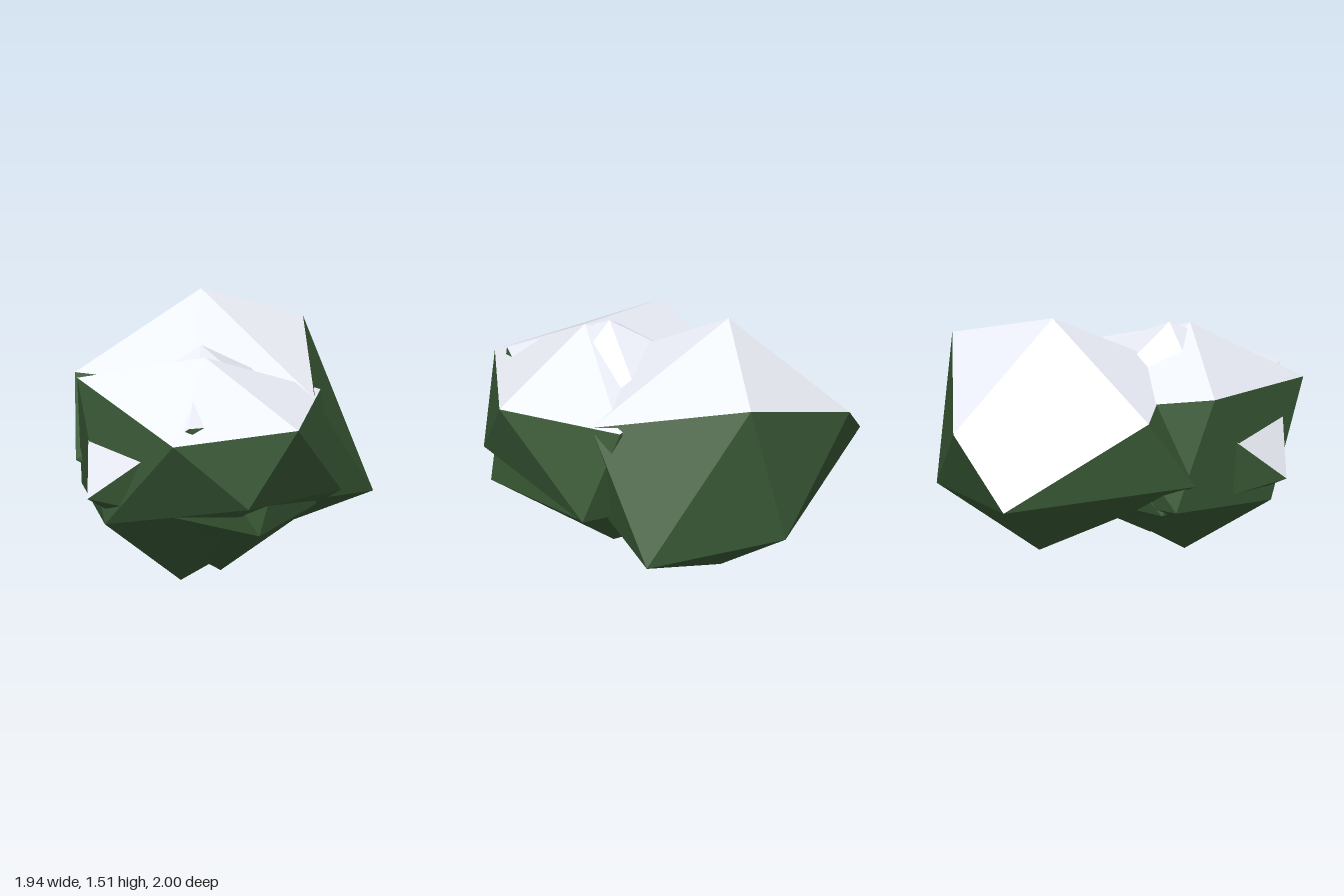
import * as THREE from 'three';

const leafMat = new THREE.MeshStandardMaterial({ color: 0x3a5a36, flatShading: true });
const snowMat = new THREE.MeshStandardMaterial({ color: 0xeef1fa, flatShading: true });

// Each clump is an uneven icosahedron: a tip, an upper ring, a lower ring and a base.
// Rings run from +x towards +z; lower[i] sits between upper[i] and upper[i + 1].
const clumps = [
  {
    name: 'backClump',
    top: [-0.16, 1.51, -0.32],
    upper: [[0.7, 1.01, -0.22], [0.2, 1.12, 0.3], [-0.58, 1.09, 0.32], [-0.67, 0.97, -0.79], [0.1, 1.26, -0.95]],
    lower: [[0.5, 0.42, 0.2], [-0.41, 0.65, 0.55], [-0.97, 0.64, -0.44], [-0.1, 0.41, -1], [0.7, 0.36, -0.79]],
    base: [-0.04, 0.02, -0.42],
  },
  {
    name: 'frontClump',
    top: [0.36, 1.32, 0.37],
    upper: [[0.97, 0.97, 0.32], [0.57, 0.95, 0.98], [-0.33, 1.16, 0.65], [-0.32, 1.05, 0], [0.62, 1.02, -0.39]],
    lower: [[0.86, 0.56, 0.65], [0.04, 0.41, 0.9], [-0.44, 0.49, 0.45], [0, 0.38, -0.25], [0.82, 0.48, -0.31]],
    base: [0.19, 0, 0.37],
  },
  {
    name: 'innerClump',
    top: [0.26, 1.36, 0.27],
    upper: [[0.8, 0.97, 0.15], [0.58, 1.03, 0.84], [-0.25, 0.95, 0.65], [-0.3, 1, -0.14], [0.42, 1, -0.4]],
    lower: [[0.87, 0.39, 0.56], [-0.01, 0.57, 1], [-0.36, 0.43, 0.35], [0.05, 0.37, -0.42], [0.76, 0.42, -0.15]],
    base: [0.31, 0.03, 0.15],
  },
];

function faceMesh(name, faces, material) {
  const geo = new THREE.BufferGeometry();
  geo.setAttribute('position', new THREE.Float32BufferAttribute(faces.flat(2), 3));
  geo.computeVertexNormals();
  const mesh = new THREE.Mesh(geo, material);
  mesh.name = name;
  return mesh;
}

// How far a face looks upwards, from -1 to 1
function upwardness(face) {
  const [a, b, c] = face.map((p) => new THREE.Vector3(...p));
  return new THREE.Triangle(a, b, c).getNormal(new THREE.Vector3()).y;
}

function makeClump({ name, top, upper, lower, base }) {
  const faces = [];
  for (let i = 0; i < 5; i++) {
    const j = (i + 1) % 5;
    faces.push(
      [top, upper[j], upper[i]],
      [upper[i], upper[j], lower[i]],
      [upper[j], lower[j], lower[i]],
      [base, lower[i], lower[j]],
    );
  }
  // Snow lies on the faces that look upwards
  const snowy = (f) => upwardness(f) > 0.5;
  const group = new THREE.Group();
  group.name = name;
  group.add(
    faceMesh('snow', faces.filter(snowy), snowMat),
    faceMesh('foliage', faces.filter((f) => !snowy(f)), leafMat),
  );
  return group;
}

export function createModel() {
  const bush = new THREE.Group();
  bush.name = 'snowyBush';
  clumps.forEach((c) => bush.add(makeClump(c)));
  return bush;
}
